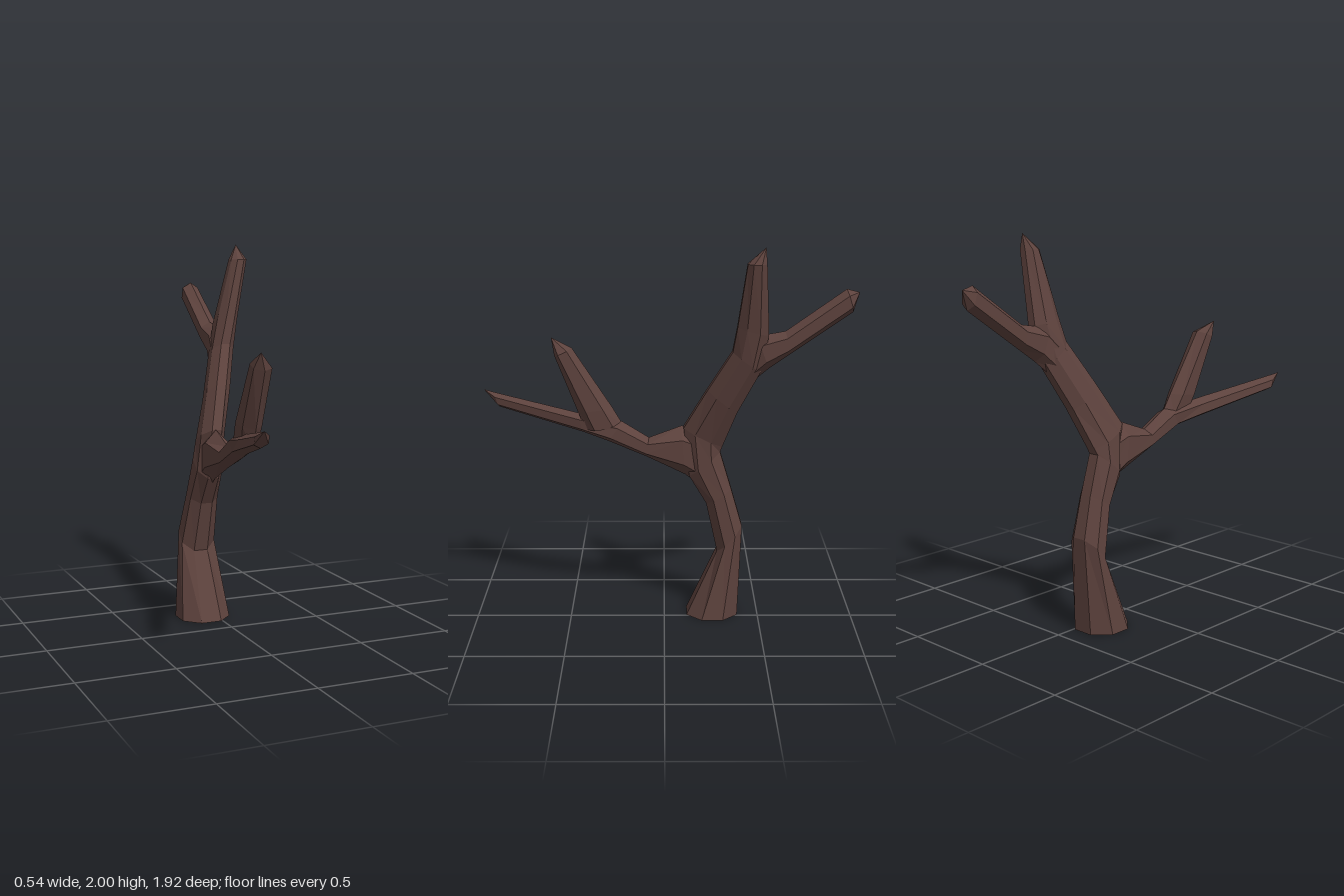
import * as THREE from 'three';

const bark = new THREE.MeshStandardMaterial({ color: 0x5d423d, flatShading: true });
bark.name = 'bark brown';

// Lofts a faceted limb. Each ring is [zA, yA, zB, yB, x, halfWidth]: A and B are
// opposite points of the cross-section. The limb closes in a point at tip [x, y, z].
function limb(name, sides, rings, tip) {
  const pos = [];
  const tri = (...pts) => pts.forEach((p) => pos.push(p.x, p.y, p.z));
  const grow = sides === 8 ? 1 / Math.cos(Math.PI / 8) : 1;
  const turn = sides === 8 ? Math.PI / 8 : Math.PI / 2;

  const loops = rings.map(([zA, yA, zB, yB, x, w]) => {
    const loop = [];
    for (let j = 0; j < sides; j++) {
      const a = turn + (j / sides) * Math.PI * 2;
      const c = Math.cos(a) * w * grow;
      const s = Math.sin(a) * 0.5 * grow;
      loop.push(new THREE.Vector3(x + c, (yA + yB) / 2 + (yA - yB) * s, (zA + zB) / 2 + (zA - zB) * s));
    }
    return loop;
  });

  const [x0, y0, z0] = [rings[0][4], (rings[0][1] + rings[0][3]) / 2, (rings[0][0] + rings[0][2]) / 2];
  const start = new THREE.Vector3(x0, y0, z0);
  const end = new THREE.Vector3(...tip);
  const last = loops[loops.length - 1];
  for (let j = 0; j < sides; j++) {
    const k = (j + 1) % sides;
    tri(start, loops[0][j], loops[0][k]);
    for (let i = 0; i + 1 < loops.length; i++) {
      const [p, q] = [loops[i], loops[i + 1]];
      tri(p[j], q[k], p[k]);
      tri(p[j], q[j], q[k]);
    }
    tri(end, last[k], last[j]);
  }

  const geometry = new THREE.BufferGeometry();
  geometry.setAttribute('position', new THREE.Float32BufferAttribute(pos, 3));
  geometry.computeVertexNormals();
  const mesh = new THREE.Mesh(geometry, bark);
  mesh.name = name;
  return mesh;
}

export function createModel() {
  const tree = new THREE.Group();
  tree.name = 'bareTree';

  // Trunk, bending back and then running on into the tall rear limb
  tree.add(limb('trunkAndTallLimb', 8, [
    [-0.12, 0, -0.39, 0, -0.065, 0.135],
    [-0.28, 0.36, -0.41, 0.5, -0.063, 0.093],
    [-0.22, 0.63, -0.35, 0.71, -0.052, 0.078],
    [-0.13, 0.78, -0.29, 0.91, -0.05, 0.072],
    [-0.1, 1.04, -0.3, 0.94, -0.04, 0.066],
    [-0.22, 1.26, -0.37, 1.14, 0.035, 0.066],
    [-0.34, 1.47, -0.48, 1.37, 0.11, 0.062],
    [-0.36, 1.6, -0.515, 1.56, 0.145, 0.058],
    [-0.4, 1.92, -0.493, 1.92, 0.225, 0.045],
  ], [0.232, 2, -0.487]));

  // Branch forking backward from the tall limb
  tree.add(limb('rearBranch', 6, [
    [-0.36, 1.45, -0.44, 1.31, 0.095, 0.055],
    [-0.46, 1.55, -0.52, 1.385, 0.12, 0.062],
    [-0.6, 1.575, -0.62, 1.455, 0.122, 0.058],
    [-0.895, 1.785, -0.93, 1.67, 0.125, 0.053],
  ], [0.12, 1.768, -0.96]));

  // Long limb reaching forward
  tree.add(limb('frontLimb', 6, [
    [-0.22, 0.7, -0.24, 1, -0.045, 0.06],
    [-0.11, 0.78, -0.09, 1.045, -0.05, 0.068],
    [0.1, 0.88, 0.08, 0.98, -0.055, 0.06],
    [0.3, 0.962, 0.22, 1.065, -0.062, 0.064],
    [0.42, 0.995, 0.45, 1.1, -0.105, 0.055],
    [0.875, 1.1, 0.9, 1.178, -0.235, 0.042],
  ], [-0.255, 1.19, 0.96]));

  // Twig rising from the front limb
  tree.add(limb('frontTwig', 6, [
    [0.41, 1.02, 0.21, 1.04, -0.06, 0.05],
    [0.45, 1.12, 0.27, 1.14, -0.065, 0.06],
    [0.565, 1.41, 0.475, 1.452, -0.072, 0.056],
  ], [-0.1, 1.5, 0.582]));

  return tree;
}
